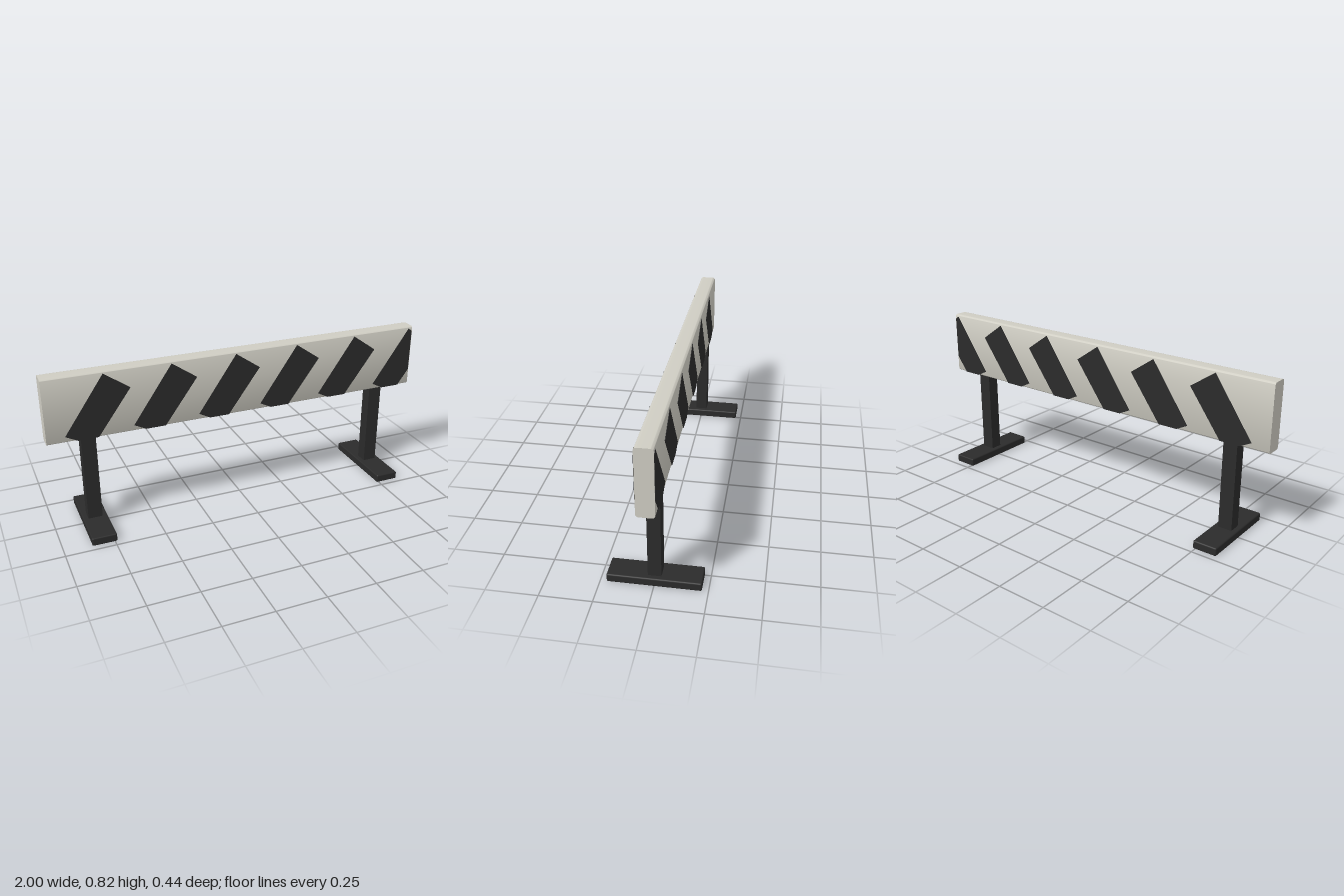
import * as THREE from 'three';
import { toCreasedNormals } from 'three/addons/utils/BufferGeometryUtils.js';
import { RoundedBoxGeometry } from 'three/addons/geometries/RoundedBoxGeometry.js';

const boardPaint = new THREE.MeshStandardMaterial({ color: 0xcfcdc3 });
boardPaint.name = 'pale grey board';
const darkPaint = new THREE.MeshStandardMaterial({ color: 0x2b2b2b });
darkPaint.name = 'charcoal';

function addMesh(parent, name, geometry, material, x = 0, y = 0, z = 0) {
  const mesh = new THREE.Mesh(geometry, material);
  mesh.name = name;
  mesh.position.set(x, y, z);
  parent.add(mesh);
  return mesh;
}

// Rounded cross-section extruded along x, with square-cut ends
function boardGeometry(length, height, depth, r) {
  const w = depth / 2, h = height / 2;
  const s = new THREE.Shape();
  s.moveTo(-w + r, -h);
  s.lineTo(w - r, -h).absarc(w - r, -h + r, r, -Math.PI / 2, 0);
  s.lineTo(w, h - r).absarc(w - r, h - r, r, 0, Math.PI / 2);
  s.lineTo(-w + r, h).absarc(-w + r, h - r, r, Math.PI / 2, Math.PI);
  s.lineTo(-w, -h + r).absarc(-w + r, -h + r, r, Math.PI, Math.PI * 1.5);
  const g = new THREE.ExtrudeGeometry(s, { depth: length, bevelEnabled: false, curveSegments: 5 });
  g.translate(0, 0, -length / 2).rotateY(Math.PI / 2);
  return toCreasedNormals(g, 0.6);
}

// Slanted stripe outline; the last one is cut off at the end of the board
const stripe = [[-0.91, 0.52], [-0.852, 0.49], [-0.75, 0.49], [-0.58, 0.722], [-0.708, 0.811]];
const pitch = 0.337;
const endX = 0.997;

function clipRight(points, limit) {
  const out = [];
  points.forEach((a, i) => {
    const b = points[(i + 1) % points.length];
    if (a[0] <= limit) out.push(a);
    if ((a[0] <= limit) !== (b[0] <= limit)) {
      const t = (limit - a[0]) / (b[0] - a[0]);
      out.push([limit, a[1] + t * (b[1] - a[1])]);
    }
  });
  return out;
}

export function createModel() {
  const model = new THREE.Group();
  model.name = 'barrier';

  addMesh(model, 'board', boardGeometry(2, 0.334, 0.084, 0.014), boardPaint, 0, 0.655, 0);

  // Painted stripes on both faces
  const stripes = new THREE.Group();
  stripes.name = 'stripes';
  model.add(stripes);
  for (let i = 0; i < 6; i++) {
    const points = clipRight(stripe.map(([x, y]) => [x + i * pitch, y]), endX);
    const shape = new THREE.Shape(points.map(([x, y]) => new THREE.Vector2(x, y)));
    const plate = new THREE.ExtrudeGeometry(shape, { depth: 0.006, bevelEnabled: false });
    addMesh(stripes, 'frontStripe', plate, darkPaint, 0, 0, 0.038);
    addMesh(stripes, 'backStripe', plate, darkPaint, 0, 0, -0.044);
  }

  // Two posts on long flat feet
  for (const [side, x] of [['left', 0.8], ['right', -0.8]]) {
    const leg = new THREE.Group();
    leg.name = side + 'Leg';
    leg.position.x = x;
    model.add(leg);
    addMesh(leg, 'post', new THREE.BoxGeometry(0.072, 0.47, 0.063), darkPaint, 0, 0.265, 0);
    addMesh(leg, 'foot', new RoundedBoxGeometry(0.124, 0.042, 0.44, 2, 0.007), darkPaint, 0, 0.021, 0);
  }
  return model;
}
